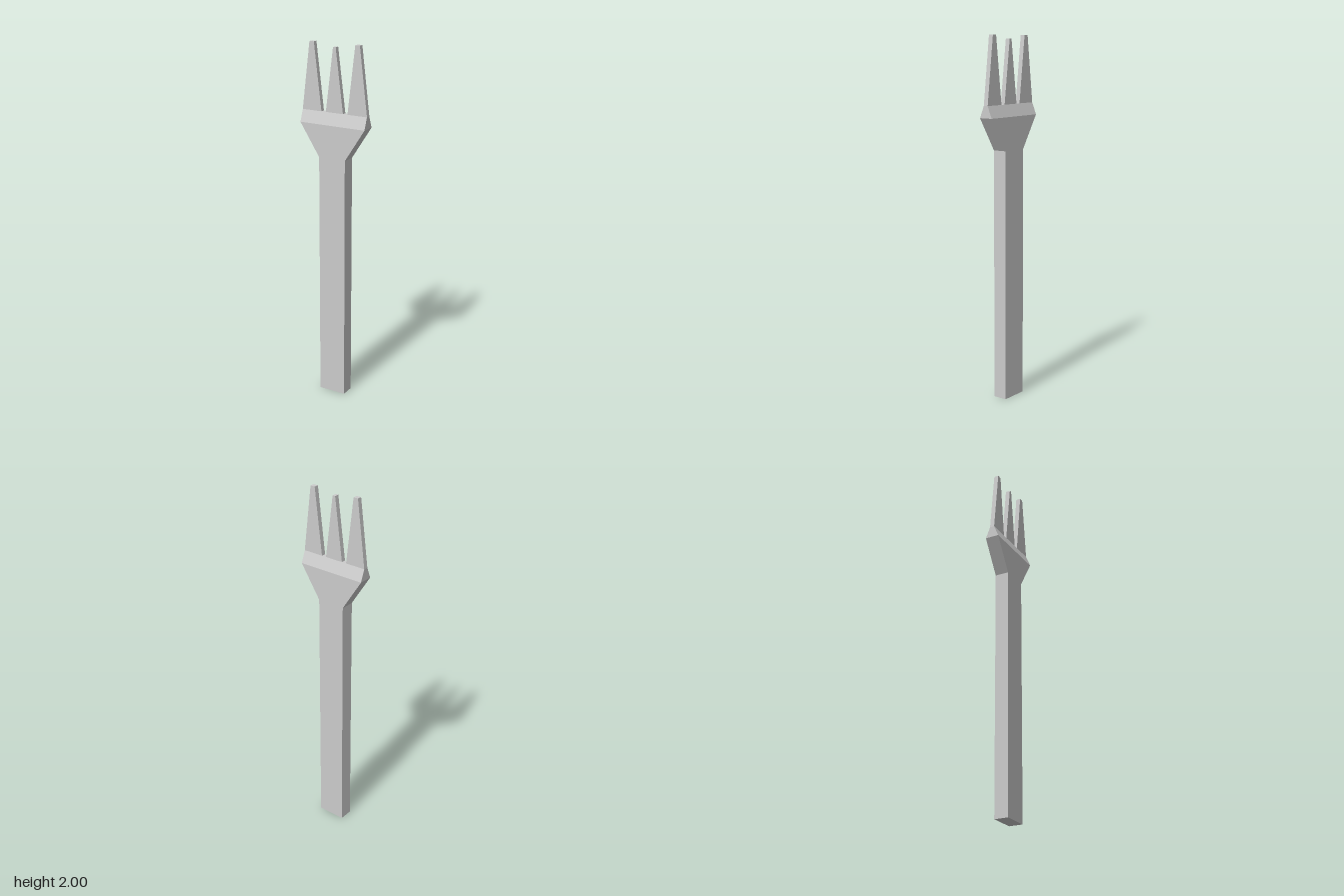
import * as THREE from 'three';

const material = new THREE.MeshStandardMaterial({ color: 0xcccccc, flatShading: true });

// Lofts rectangular sections [y, xMin, xMax, halfDepth] from bottom to top.
function loft(name, sections) {
  const rings = sections.map(([y, a, b, d]) => [[a, y, d], [b, y, d], [b, y, -d], [a, y, -d]]);
  const positions = [];
  const quad = (a, b, c, d) => positions.push(...a, ...b, ...c, ...a, ...c, ...d);
  for (let i = 0; i < rings.length - 1; i++) {
    const lo = rings[i], hi = rings[i + 1];
    for (let k = 0; k < 4; k++) {
      const n = (k + 1) % 4;
      quad(lo[k], lo[n], hi[n], hi[k]);
    }
  }
  quad(...rings[rings.length - 1]);
  quad(...[...rings[0]].reverse());
  const geometry = new THREE.BufferGeometry();
  geometry.setAttribute('position', new THREE.Float32BufferAttribute(positions, 3));
  geometry.computeVertexNormals();
  const mesh = new THREE.Mesh(geometry, material);
  mesh.name = name;
  return mesh;
}

export function createModel() {
  const fork = new THREE.Group();
  fork.name = 'fork';

  const shoulderY = 1.39, headY = 1.57, tineY = 1.635;
  const handleHalf = 0.079, headHalf = 0.195, depth = 0.039, thin = 0.013;

  // Straight bar handle
  fork.add(loft('handle', [
    [0, -handleHalf, handleHalf, depth],
    [shoulderY, -handleHalf, handleHalf, depth],
  ]));

  // Head flares sideways, then bevels down to the tine thickness
  fork.add(loft('head', [
    [shoulderY, -handleHalf, handleHalf, depth],
    [headY, -headHalf, headHalf, depth],
    [tineY, -headHalf, headHalf, thin],
  ]));

  // Tapered tines
  fork.add(loft('middleTine', [
    [tineY, -0.052, 0.052, thin],
    [1.98, -0.008, 0.008, thin],
  ]));
  fork.add(loft('leftTine', [
    [tineY, 0.079, headHalf, thin],
    [2, 0.123, 0.15, thin],
  ]));
  fork.add(loft('rightTine', [
    [tineY, -headHalf, -0.079, thin],
    [2, -0.15, -0.123, thin],
  ]));

  return fork;
}
